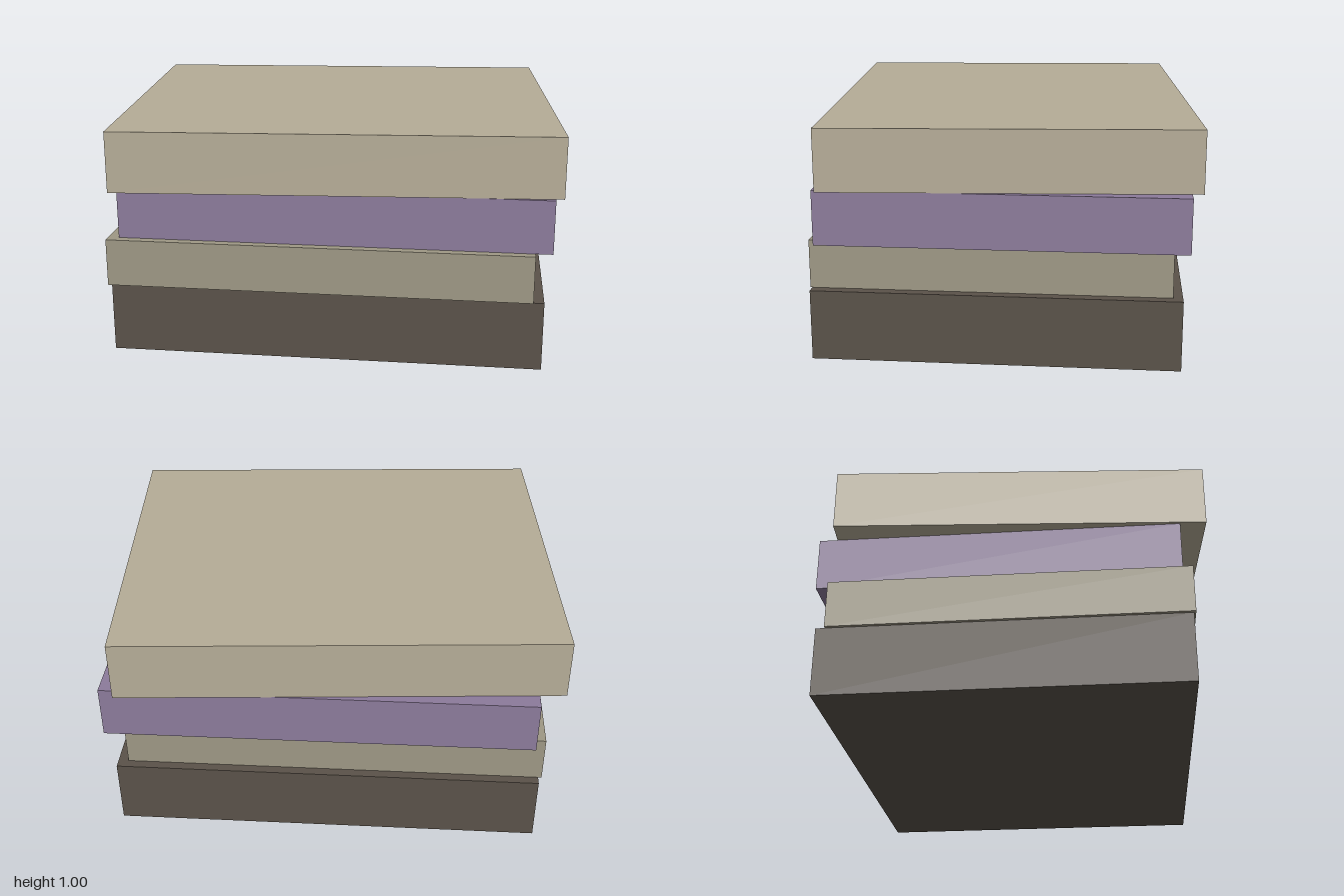
import * as THREE from 'three';

// Stacked slabs: x, y and z ranges, with an optional turn about the vertical
const SLABS = [
  { name: 'bottomSlab', color: 0x5a5249, x: [-0.92, 0.935], y: [0, 0.3], z: [-0.775, 0.765] },
  { name: 'lowerMiddleSlab', color: 0x9e9885, x: [-0.935, 0.89], y: [0.3, 0.506], z: [-0.735, 0.773] },
  { name: 'upperMiddleSlab', color: 0x8c7b9b, x: [-0.887, 0.963], y: [0.506, 0.738], z: [-0.797, 0.735] },
  { name: 'topSlab', color: 0xb5ac97, x: [-0.947, 0.947], y: [0.738, 1], z: [-0.78, 0.78], turn: 4 },
];

export function createModel() {
  const model = new THREE.Group();
  model.name = 'slabStack';
  const size = ([a, b]) => b - a;
  const middle = ([a, b]) => (a + b) / 2;

  for (const { name, color, x, y, z, turn = 0 } of SLABS) {
    const slab = new THREE.Mesh(
      new THREE.BoxGeometry(size(x), size(y), size(z)),
      new THREE.MeshStandardMaterial({ color })
    );
    slab.name = name;
    slab.position.set(middle(x), middle(y), middle(z));
    slab.rotation.y = THREE.MathUtils.degToRad(turn);
    model.add(slab);
  }
  return model;
}
